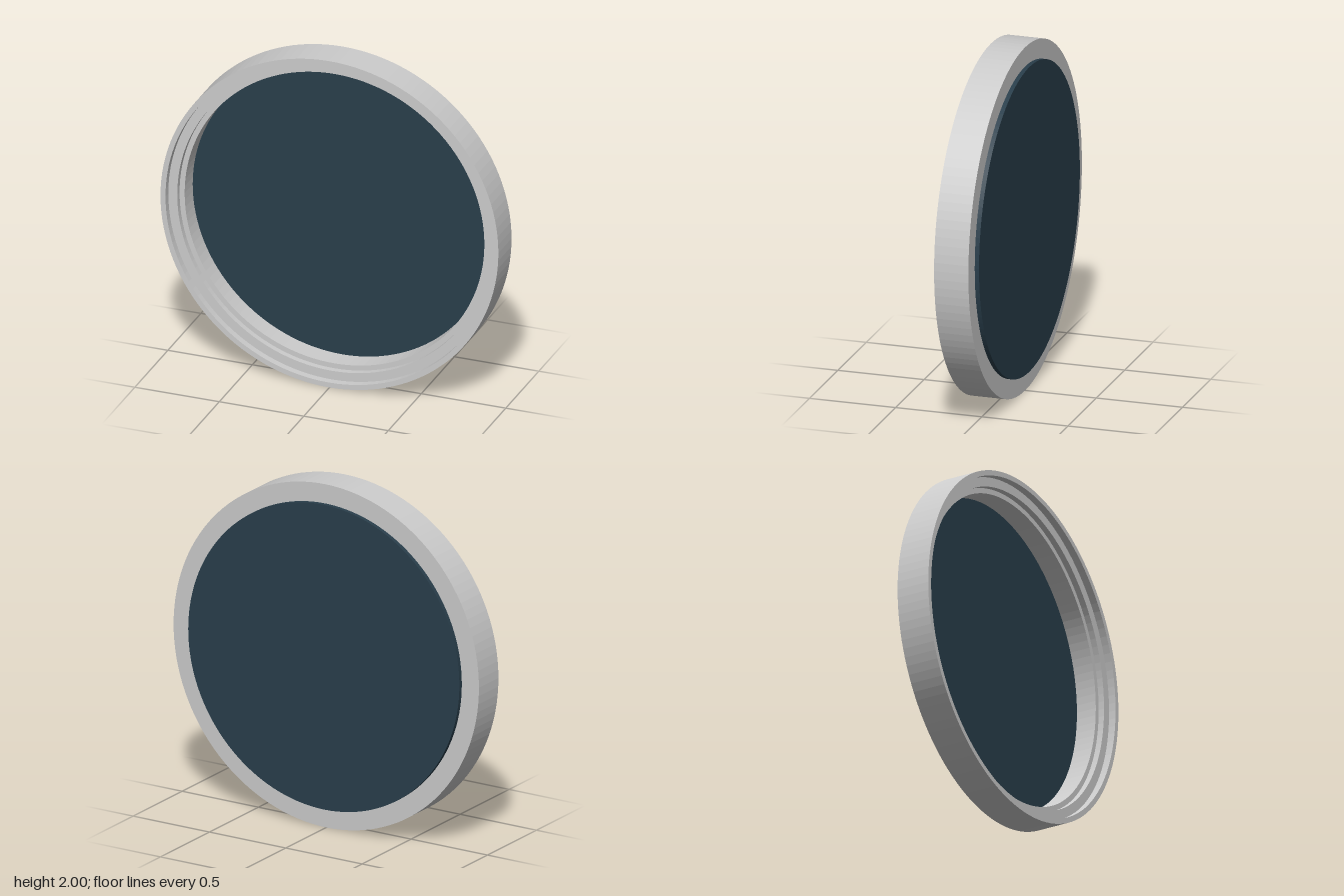
import * as THREE from 'three';

const SEGMENTS = 128;
const BACK = -0.087, FRONT = 0.112;

export function createModel() {
  const model = new THREE.Group();
  model.name = 'roundFrame';

  // Ring: outer wall, front rim, two steps down, inner wall, flat back
  const profile = [
    [0.887, BACK], [1, BACK], [1, FRONT], [0.97, FRONT],
    [0.97, 0.07], [0.917, 0.07], [0.917, 0.035], [0.887, 0.035],
    [0.887, BACK],
  ].map(([r, z]) => new THREE.Vector2(r, z));
  const ring = new THREE.Mesh(
    new THREE.LatheGeometry(profile, SEGMENTS).rotateX(Math.PI / 2),
    new THREE.MeshStandardMaterial({ color: 0xcccccc, flatShading: true })
  );
  ring.name = 'steppedRing';
  ring.position.y = 1;

  // Dark disc closing the back of the ring
  const thickness = 0.025;
  const disc = new THREE.Mesh(
    new THREE.CylinderGeometry(0.888, 0.888, thickness, SEGMENTS).rotateX(Math.PI / 2),
    new THREE.MeshStandardMaterial({ color: 0x293e4b, flatShading: true })
  );
  disc.name = 'backDisc';
  disc.position.set(0, 1, BACK - thickness / 2);

  model.add(ring, disc);
  return model;
}
